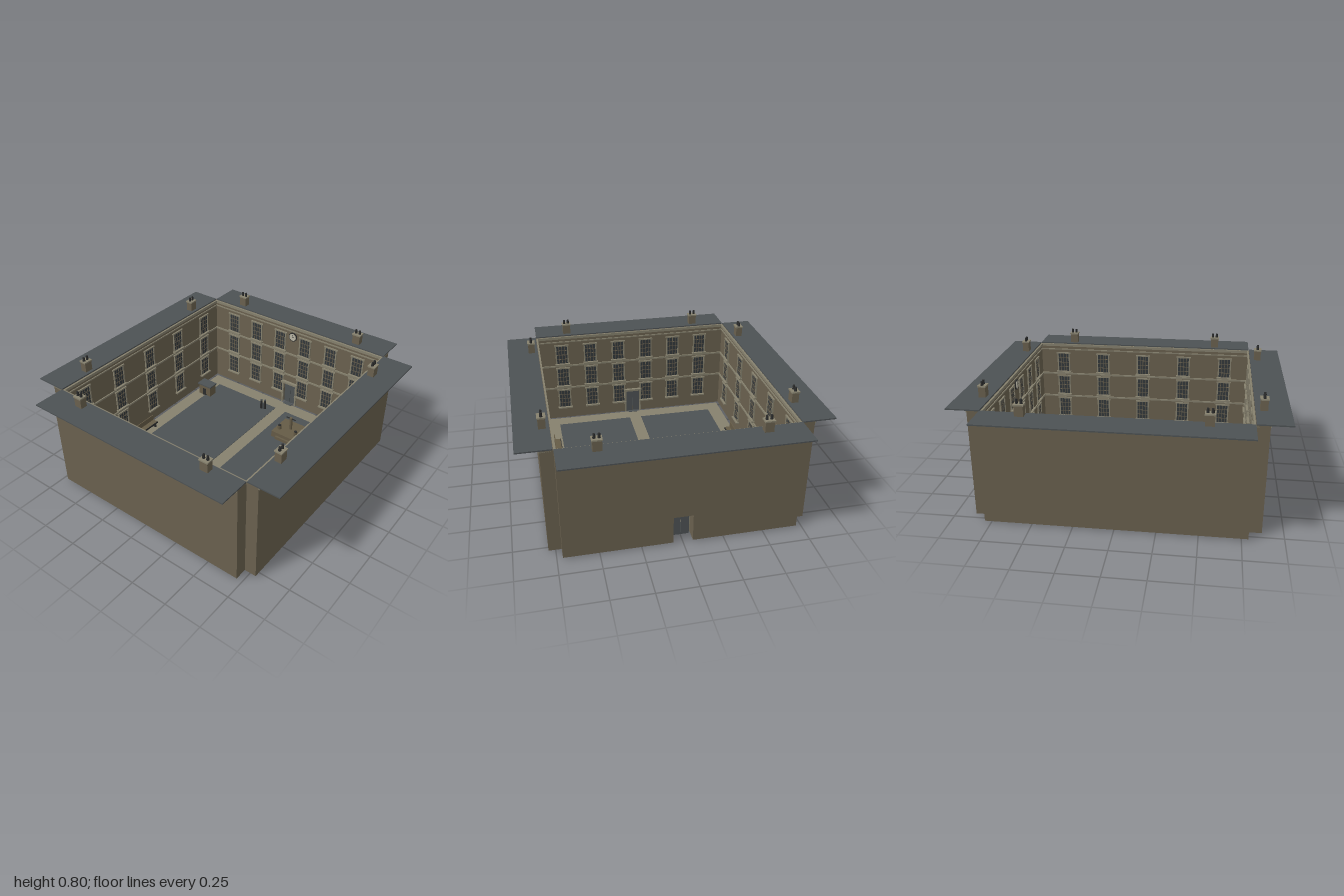
import * as THREE from 'three';

const mat = (name, color) => Object.assign(new THREE.MeshStandardMaterial({ color }), { name });

export function createModel() {
  const brick = mat('brown brick', 0x6a614f);
  const stone = mat('pale stone', 0x86816e);
  const slate = mat('slate grey', 0x4d5254);
  const glass = mat('dark glass', 0x33383b);
  const iron = mat('black iron', 0x2b2c2c);
  const wood = mat('brown wood', 0x655b46);
  const dial = mat('clock white', 0xb9b5a4);

  const root = new THREE.Group();
  root.name = 'courtyard';

  const group = (parent, name, x = 0, y = 0, z = 0) => {
    const g = new THREE.Group();
    g.name = name;
    g.position.set(x, y, z);
    parent.add(g);
    return g;
  };
  const add = (parent, name, geo, m, x, y, z) => {
    const mesh = new THREE.Mesh(geo, m);
    mesh.name = name;
    mesh.position.set(x, y, z);
    parent.add(mesh);
    return mesh;
  };
  // Box given by its centre in x and z and by its bottom in y
  const box = (parent, name, m, w, h, d, x, y, z) =>
    add(parent, name, new THREE.BoxGeometry(w, h, d), m, x, y + h / 2, z);
  const rod = (parent, name, m, r, h, x, y, z, r2 = r) =>
    add(parent, name, new THREE.CylinderGeometry(r2, r, h, 12), m, x, y + h / 2, z);

  // Sash window with glazing bars, lintel and sill
  function addWindow(parent, x, y) {
    const w = 0.088, h = 0.14;
    const g = group(parent, 'window', x, y, 0);
    box(g, 'windowGlass', glass, w, h, 0.004, 0, -h / 2, 0.002);
    for (const s of [-1, 1]) {
      box(g, 'windowJamb', stone, 0.009, h, 0.009, s * w / 2, -h / 2, 0.0045);
    }
    for (const i of [-1, 0, 1]) {
      box(g, 'glazingBar', brick, 0.004, h, 0.006, i * w / 4, -h / 2, 0.003);
      box(g, 'glazingBar', brick, w, 0.004, 0.006, 0, i * h / 4 - 0.002, 0.003);
    }
    box(g, 'windowLintel', stone, w + 0.02, 0.01, 0.01, 0, h / 2, 0.005);
    box(g, 'windowSill', stone, w + 0.022, 0.01, 0.021, 0, -h / 2 - 0.01, 0.0105);
  }

  // Chimney stack with two pots, its long side along x
  function addChimney(parent, x, z) {
    const g = group(parent, 'chimney', x, 0.698, z);
    box(g, 'chimneyStack', brick, 0.054, 0.066, 0.044, 0, 0, 0);
    box(g, 'chimneyCap', stone, 0.062, 0.009, 0.052, 0, 0.066, 0);
    for (const s of [-1, 1]) rod(g, 'chimneyPot', iron, 0.009, 0.028, s * 0.014, 0.074, 0, 0.007);
  }

  // Doorway surround with double door
  function addDoor(parent, z) {
    const g = group(parent, 'doorway');
    for (const s of [-1, 1]) {
      box(g, 'doorPost', stone, 0.012, 0.18, 0.014, s * 0.058, 0.01, 0.007);
      box(g, 'doorLeaf', slate, 0.05, 0.172, 0.006, s * 0.026, 0.01, z);
    }
    box(g, 'doorHood', stone, 0.14, 0.016, 0.022, 0, 0.19, 0.011);
    box(g, 'doorStep', slate, 0.07, 0.012, 0.032, 0, 0.002, 0.016);
  }

  // One wing: its court face lies on local z = 0, looking to +z
  function addWing(name, length, depth, count, pitch, chimneyX, chimneyZ, door) {
    const g = group(root, name);
    const half = length / 2;
    const outline = new THREE.Shape();
    outline.moveTo(-half, 0.008);
    if (door === 'passage') {
      outline.lineTo(-0.06, 0.008);
      outline.lineTo(-0.06, 0.19);
      outline.lineTo(0.06, 0.19);
      outline.lineTo(0.06, 0.008);
    }
    outline.lineTo(half, 0.008);
    outline.lineTo(half, 0.692);
    outline.lineTo(-half, 0.692);
    const wall = new THREE.ExtrudeGeometry(outline, { depth, bevelEnabled: false });
    add(g, 'wall', wall, brick, 0, 0, -depth);
    box(g, 'roof', slate, length, 0.008, 0.207, 0, 0.692, -0.1065);
    box(g, 'eavesLedge', stone, length, 0.01, depth + 0.005, 0, 0.682, -depth / 2 - 0.0025);
    // Horizontal mouldings on the court face
    box(g, 'cornice', stone, length, 0.018, 0.011, 0, 0.674, 0.0055);
    box(g, 'frieze', stone, length, 0.008, 0.006, 0, 0.645, 0.003);
    for (const y of [0.262, 0.447]) box(g, 'stringCourse', stone, length, 0.012, 0.008, 0, y, 0.004);
    for (const y of [0.175, 0.36, 0.545]) {
      for (let i = 0; i < count; i++) {
        const x = (i - (count - 1) / 2) * pitch;
        addWindow(g, x, y);
      }
    }
    for (const s of [-1, 1]) addChimney(g, s * chimneyX, chimneyZ);
    if (door) addDoor(g, door === 'passage' ? -0.012 : 0.003);
    return g;
  }

  const back = addWing('backWing', 1.43, 0.08, 6, 0.214, 0.485, -0.053, 'passage');
  back.position.z = -0.79;
  const front = addWing('frontWing', 1.43, 0.08, 6, 0.214, 0.485, -0.053, 'closed');
  front.position.z = 0.79;
  front.rotation.y = Math.PI;
  for (const s of [-1, 1]) {
    const side = addWing(s > 0 ? 'leftWing' : 'rightWing', 1.58, 0.077, 5, 0.31, 0.537, -0.045, null);
    side.position.x = s * 0.715;
    side.rotation.y = -s * Math.PI / 2;
  }

  // Clock above the passage
  const clock = group(back, 'clock', 0, 0.605, 0);
  const disc = (name, m, r, d) => {
    add(clock, name, new THREE.CylinderGeometry(r, r, d, 24), m, 0, 0, d / 2).rotation.x = Math.PI / 2;
  };
  disc('clockRim', iron, 0.034, 0.008);
  disc('clockFace', dial, 0.028, 0.01);
  box(clock, 'minuteHand', iron, 0.003, 0.022, 0.002, 0, 0, 0.011);
  box(clock, 'hourHand', iron, 0.015, 0.003, 0.002, 0.0075, -0.0015, 0.011);

  // Ground paving and two sunken courts
  box(root, 'paving', stone, 1.39, 0.007, 1.54, 0, 0.004, 0);
  for (const s of [-1, 1]) box(root, 'courtSurface', slate, 0.55, 0.014, 1.332, s * 0.32, 0, 0);

  // Small shed
  const shed = group(root, 'shed', -0.6, 0.011, -0.51);
  box(shed, 'shedWalls', wood, 0.11, 0.085, 0.068, 0, 0, 0);
  box(shed, 'shedRoof', slate, 0.125, 0.01, 0.082, 0, 0.085, 0);
  box(shed, 'shedDoor', iron, 0.03, 0.06, 0.004, 0, 0, 0.035);

  // Timber platform with post, beam and two barrels
  const platform = group(root, 'platform', 0.228, 0.012, -0.445);
  box(platform, 'platformDeck', wood, 0.2, 0.05, 0.19, 0, 0, 0);
  box(platform, 'platformStep', wood, 0.12, 0.025, 0.02, 0, 0, 0.1);
  rod(platform, 'platformPost', wood, 0.011, 0.1, 0, 0.05, -0.008);
  box(platform, 'crossBeam', iron, 0.075, 0.006, 0.006, 0, 0.14, -0.008);
  for (const s of [-1, 1]) {
    rod(platform, 'barrel', wood, 0.014, 0.03, s * 0.068, 0.05, 0.035);
    rod(platform, 'barrelLid', iron, 0.012, 0.003, s * 0.068, 0.08, 0.035);
  }

  // Long benches beside the walls
  for (const [x, z, s] of [[-0.642, 0.18, 1], [0.638, 0.265, -1]]) {
    const bench = group(root, 'bench', x, 0.011, z);
    box(bench, 'benchSeat', wood, 0.044, 0.012, 0.23, 0, 0.035, 0);
    box(bench, 'benchBack', wood, 0.006, 0.04, 0.23, -s * 0.019, 0.047, 0);
    for (const e of [-1, 0, 1]) box(bench, 'benchLeg', iron, 0.036, 0.035, 0.01, 0, 0, e * 0.1);
    box(bench, 'benchTrim', iron, 0.004, 0.012, 0.23, s * 0.024, 0.035, 0);
  }

  // Low railing along one wall
  const railing = group(root, 'railing', 0.67, 0.011, 0);
  box(railing, 'handrail', iron, 0.005, 0.005, 1.31, 0, 0.05, 0);
  for (let i = 0; i <= 20; i++) rod(railing, 'railPost', iron, 0.003, 0.052, 0, 0, -0.65 + i * 0.065);

  // Two standing figures
  for (const s of [-1, 1]) {
    const figure = group(root, 'standingFigure', -0.12 + s * 0.013, 0.012, -0.603 - s * 0.005);
    rod(figure, 'figureCoat', iron, 0.011, 0.07, 0, 0, 0, 0.008);
    add(figure, 'figureHead', new THREE.SphereGeometry(0.008, 10, 8), slate, 0, 0.077, 0);
  }
  return root;
}
